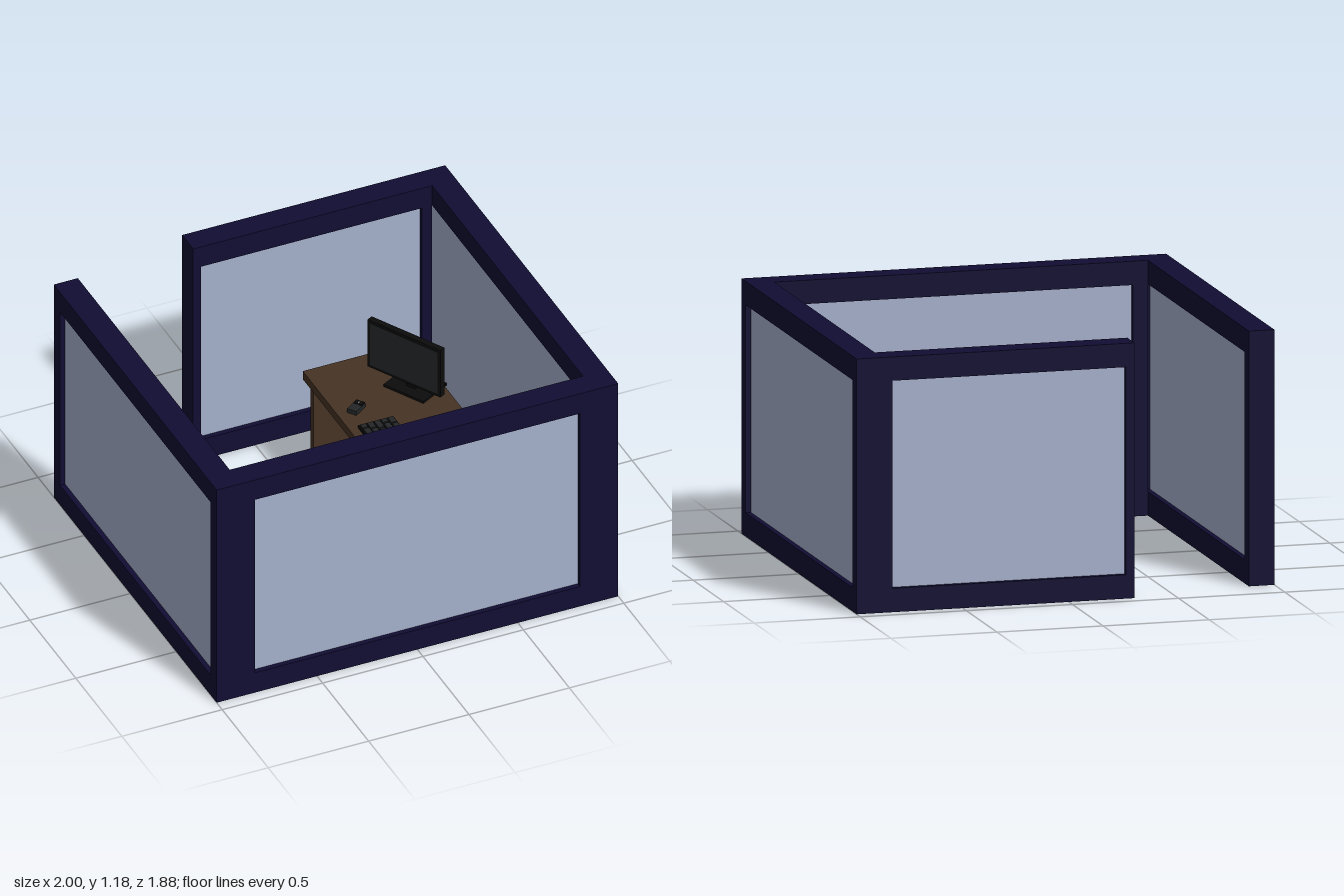
import * as THREE from 'three';

const mat = (color) => new THREE.MeshStandardMaterial({ color });
const frameMat = mat(0x110d33), panelMat = mat(0xa5b0cc);
const woodMat = mat(0x463324), blackMat = mat(0x0c0c0c), keyMat = mat(0x232627);
const paperMat = mat(0xb8b8b8), trayMat = mat(0x8c8c8c), orangeMat = mat(0xc0701a);

const HEIGHT = 1.18, THICK = 0.12, SILL = 0.11, HEAD = 1.07;
const DESK_TOP = 0.52;

function box(parent, name, size, pos, material, yaw = 0) {
  const mesh = new THREE.Mesh(new THREE.BoxGeometry(...size), material);
  mesh.name = name;
  mesh.position.set(...pos);
  mesh.rotation.y = yaw;
  parent.add(mesh);
  return mesh;
}

// Partition from a0 to a1 along its run, with a recessed panel from w0 to w1
function partition(name, a0, a1, w0, w1) {
  const wall = new THREE.Group();
  wall.name = name;
  const shape = new THREE.Shape([[a0, 0], [a1, 0], [a1, HEIGHT], [a0, HEIGHT]]
    .map((p) => new THREE.Vector2(...p)));
  shape.holes.push(new THREE.Path([[w0, SILL], [w0, HEAD], [w1, HEAD], [w1, SILL]]
    .map((p) => new THREE.Vector2(...p))));
  const geo = new THREE.ExtrudeGeometry(shape, { depth: THICK, bevelEnabled: false });
  geo.translate(0, 0, -THICK / 2);
  const frame = new THREE.Mesh(geo, frameMat);
  frame.name = 'partitionFrame';
  wall.add(frame);
  box(wall, 'partitionPanel', [w1 - w0, HEAD - SILL, 0.07],
    [(w0 + w1) / 2, (SILL + HEAD) / 2, 0], panelMat);
  return wall;
}

function makeWalls() {
  const walls = new THREE.Group();
  walls.name = 'partitions';
  const front = partition('frontPartition', -0.88, 0.88, -0.81, 0.81);
  front.position.z = 0.88;
  const back = partition('backPartition', -0.31, 0.88, -0.27, 0.83);
  back.position.z = -0.88;
  // Side walls: the run turns onto z
  const left = partition('leftPartition', -0.94, 0.94, -0.875, 0.875);
  left.position.x = 0.94;
  const right = partition('rightPartition', -0.83, 0.94, -0.76, 0.875);
  right.position.x = -0.94;
  left.rotation.y = right.rotation.y = -Math.PI / 2;
  walls.add(front, back, left, right);
  return walls;
}

function makeDesk() {
  const desk = new THREE.Group();
  desk.name = 'desk';
  box(desk, 'deskTop', [0.535, 0.045, 1.18], [0.398, DESK_TOP - 0.0225, 0], woodMat);
  for (const s of [-1, 1]) {
    box(desk, 'deskSide', [0.48, 0.476, 0.03], [0.4, 0.238, s * 0.555], woodMat);
  }
  box(desk, 'modestyPanel', [0.025, 0.34, 1.08], [0.61, 0.306, 0], woodMat);
  return desk;
}

// Monitor built facing +z, then turned toward the chair side
function makeMonitor() {
  const monitor = new THREE.Group();
  monitor.name = 'monitor';
  box(monitor, 'monitorBase', [0.225, 0.012, 0.18], [0, 0.006, -0.07], blackMat);
  box(monitor, 'monitorNeck', [0.05, 0.2, 0.03], [0, 0.105, -0.05], blackMat);
  box(monitor, 'monitorMount', [0.1, 0.08, 0.04], [0, 0.19, -0.03], blackMat);
  box(monitor, 'monitorCase', [0.41, 0.26, 0.03], [0, 0.2, 0], blackMat);
  box(monitor, 'monitorScreen', [0.38, 0.23, 0.004], [0, 0.2, 0.015], keyMat);
  monitor.position.set(0.484, DESK_TOP, -0.24);
  monitor.rotation.y = -1.07;
  return monitor;
}

// Keyboard: rows along z, staggered key lengths
function makeKeyboard() {
  const keyboard = new THREE.Group();
  keyboard.name = 'keyboard';
  box(keyboard, 'keyboardBase', [0.175, 0.014, 0.435], [0, 0.007, 0], blackMat);
  const rows = 5, pitch = 0.034, start = -0.21, end = 0.21;
  for (let r = 0; r < rows; r++) {
    let z = start;
    for (let k = 0; z < end - 0.001; k++) {
      const want = [0.035, 0.05, 0.065][(k * 2 + r) % 3];
      const len = end - z - want < 0.025 ? end - z : want;
      box(keyboard, 'key', [pitch - 0.007, 0.01, len - 0.007],
        [(r - 2) * pitch, 0.018, z + len / 2], keyMat);
      z += len;
    }
  }
  keyboard.position.set(0.26, DESK_TOP, 0.135);
  return keyboard;
}

function makeMouse() {
  const mouse = new THREE.Group();
  mouse.name = 'mouse';
  box(mouse, 'mouseBody', [0.08, 0.022, 0.048], [0, 0.011, 0], keyMat);
  for (const s of [-1, 1]) {
    box(mouse, 'mouseButton', [0.028, 0.006, 0.019], [0.025, 0.023, s * 0.012], blackMat);
  }
  const wheel = new THREE.Mesh(new THREE.CylinderGeometry(0.008, 0.008, 0.006, 10), trayMat);
  wheel.name = 'mouseWheel';
  wheel.rotation.x = Math.PI / 2;
  wheel.position.set(0.025, 0.021, 0);
  mouse.add(wheel);
  mouse.position.set(0.225, DESK_TOP, -0.215);
  mouse.rotation.y = 0.6;
  return mouse;
}

function makeStationery() {
  const items = new THREE.Group();
  items.name = 'stationery';
  // Loose pile of sheets
  for (let i = 0; i < 3; i++) {
    box(items, 'paperSheet', [0.135, 0.004, 0.13],
      [0.293, DESK_TOP + 0.002 + i * 0.004, 0.478], paperMat, 0.12 + i * 0.02);
  }
  // Two-tier paper tray
  for (let i = 0; i < 2; i++) {
    const y = DESK_TOP + i * 0.03;
    box(items, 'trayShelf', [0.135, 0.006, 0.125], [0.468, y + 0.003, 0.478], trayMat);
    box(items, 'trayPaper', [0.125, 0.012, 0.12], [0.468, y + 0.012, 0.478], paperMat, 0.03);
  }
  for (const sx of [-1, 1]) for (const sz of [-1, 1]) {
    box(items, 'trayPost', [0.006, 0.05, 0.006],
      [0.468 + sx * 0.064, DESK_TOP + 0.025, 0.478 + sz * 0.059], trayMat);
  }
  // Pencil lying on the desk
  const pencil = new THREE.Mesh(new THREE.CylinderGeometry(0.004, 0.004, 0.08, 6), orangeMat);
  pencil.name = 'pencil';
  pencil.rotation.z = Math.PI / 2;
  pencil.position.set(0.485, DESK_TOP + 0.004, 0.382);
  const tip = new THREE.Mesh(new THREE.ConeGeometry(0.004, 0.014, 6), paperMat);
  tip.name = 'pencilTip';
  tip.rotation.z = Math.PI / 2;
  tip.position.set(0.438, DESK_TOP + 0.004, 0.382);
  items.add(pencil, tip);
  box(items, 'eraser', [0.012, 0.008, 0.012], [0.342, DESK_TOP + 0.004, 0.567], paperMat, 0.4);
  return items;
}

export function createModel() {
  const model = new THREE.Group();
  model.name = 'officeCubicle';
  model.add(makeWalls(), makeDesk(), makeMonitor(), makeKeyboard(), makeMouse(), makeStationery());
  return model;
}
